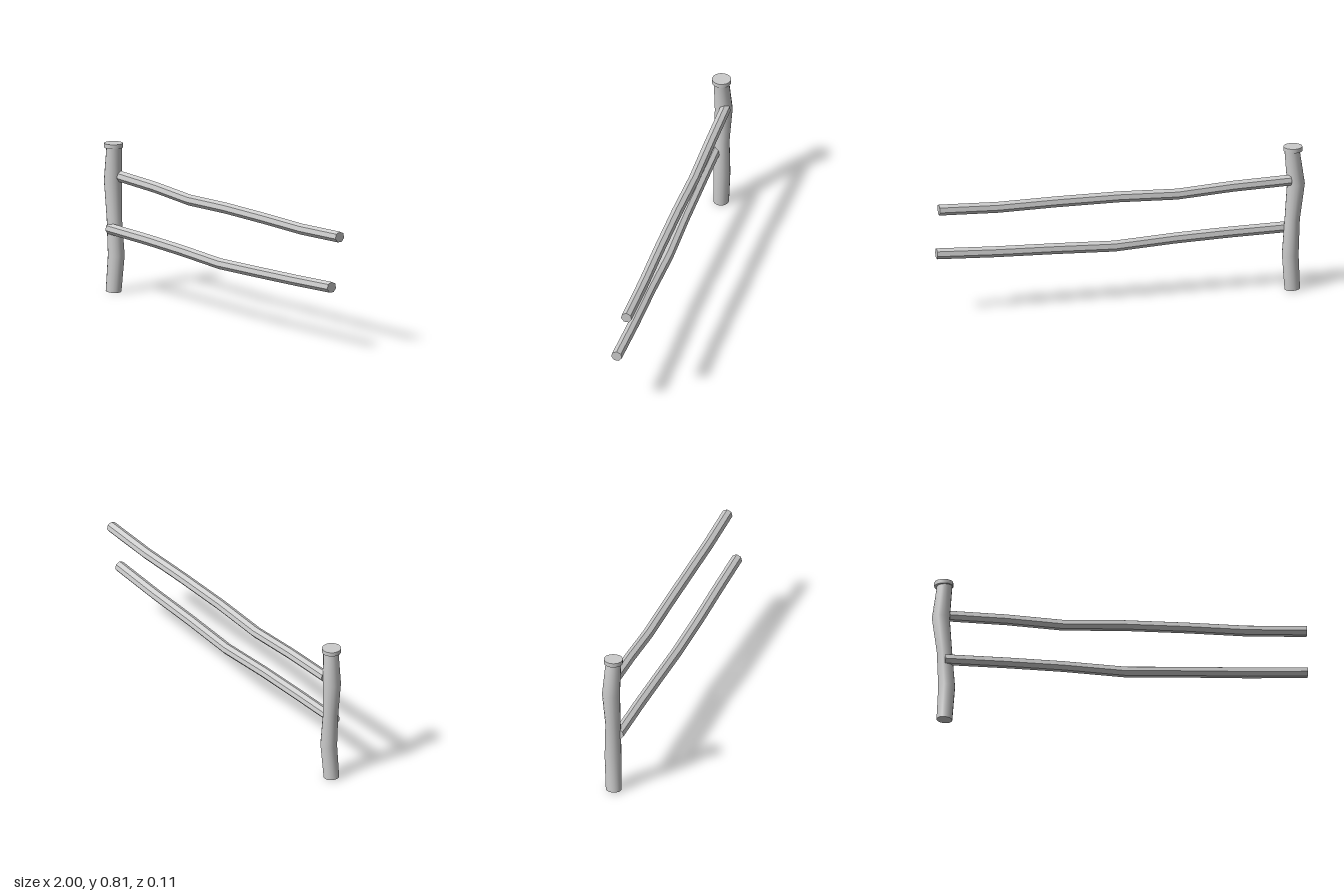
import * as THREE from 'three';
import { toCreasedNormals } from 'three/addons/utils/BufferGeometryUtils.js';

// Closed tube through rings; ringPoint(station, angle) gives [x, y, z]
function loft(stations, sides, ringPoint) {
  const pos = [], idx = [];
  stations.forEach((s) => {
    for (let i = 0; i < sides; i++) pos.push(...ringPoint(s, (i / sides) * Math.PI * 2));
  });
  const last = (stations.length - 1) * sides;
  for (let k = 0; k < last; k += sides) {
    for (let i = 0; i < sides; i++) {
      const j = (i + 1) % sides;
      idx.push(k + i, k + j, k + sides + i, k + j, k + sides + j, k + sides + i);
    }
  }
  // End faces
  for (let i = 1; i < sides - 1; i++) {
    idx.push(0, i + 1, i);
    idx.push(last, last + i, last + i + 1);
  }
  const g = new THREE.BufferGeometry();
  g.setAttribute('position', new THREE.Float32BufferAttribute(pos, 3));
  g.setIndex(idx);
  return toCreasedNormals(g, 0.6);
}

export function createModel() {
  const group = new THREE.Group();
  const wood = new THREE.MeshStandardMaterial({ color: 0xcccccc });
  wood.name = 'pale grey';

  const add = (name, geometry) => {
    const mesh = new THREE.Mesh(geometry, wood);
    mesh.name = name;
    group.add(mesh);
    return mesh;
  };

  // Crooked post: [x, y, z, radius, slant of the cut]
  const postRings = [
    [-0.935, 0.004, 0.001, 0.042, -0.08],
    [-0.922, 0.2, -0.007, 0.045, 0],
    [-0.934, 0.4, -0.003, 0.041, 0],
    [-0.953, 0.6, -0.008, 0.048, 0],
    [-0.933, 0.79, -0.001, 0.041, 0],
  ];
  add('post', loft(postRings, 16, ([x, y, z, r, slant], a) =>
    [x + r * Math.sin(a), y + slant * r * Math.sin(a), z + r * Math.cos(a)]));

  // Round cap on the post
  add('postCap', toCreasedNormals(new THREE.CylinderGeometry(0.051, 0.051, 0.023, 16), 0.6))
    .position.set(-0.938, 0.795, 0);

  // Seven-sided rails: [x, y, z]
  const rails = {
    upperRail: [
      [-0.92, 0.627, -0.026], [-0.6, 0.618, -0.027], [-0.3, 0.599, -0.027],
      [0.02, 0.609, -0.024], [0.36, 0.609, -0.024], [0.68, 0.605, -0.026], [1, 0.616, -0.027],
    ],
    lowerRail: [
      [-0.935, 0.346, 0.027], [-0.6, 0.341, 0.026], [-0.3, 0.332, 0.026],
      [0.03, 0.315, 0.023], [0.36, 0.326, 0.027], [0.68, 0.336, 0.025], [1, 0.35, 0.027],
    ],
  };
  for (const [name, path] of Object.entries(rails)) {
    add(name, loft(path, 7, ([x, y, z], a) =>
      [x, y + 0.03 * Math.cos(a), z + 0.03 * Math.sin(a)]));
  }
  return group;
}
